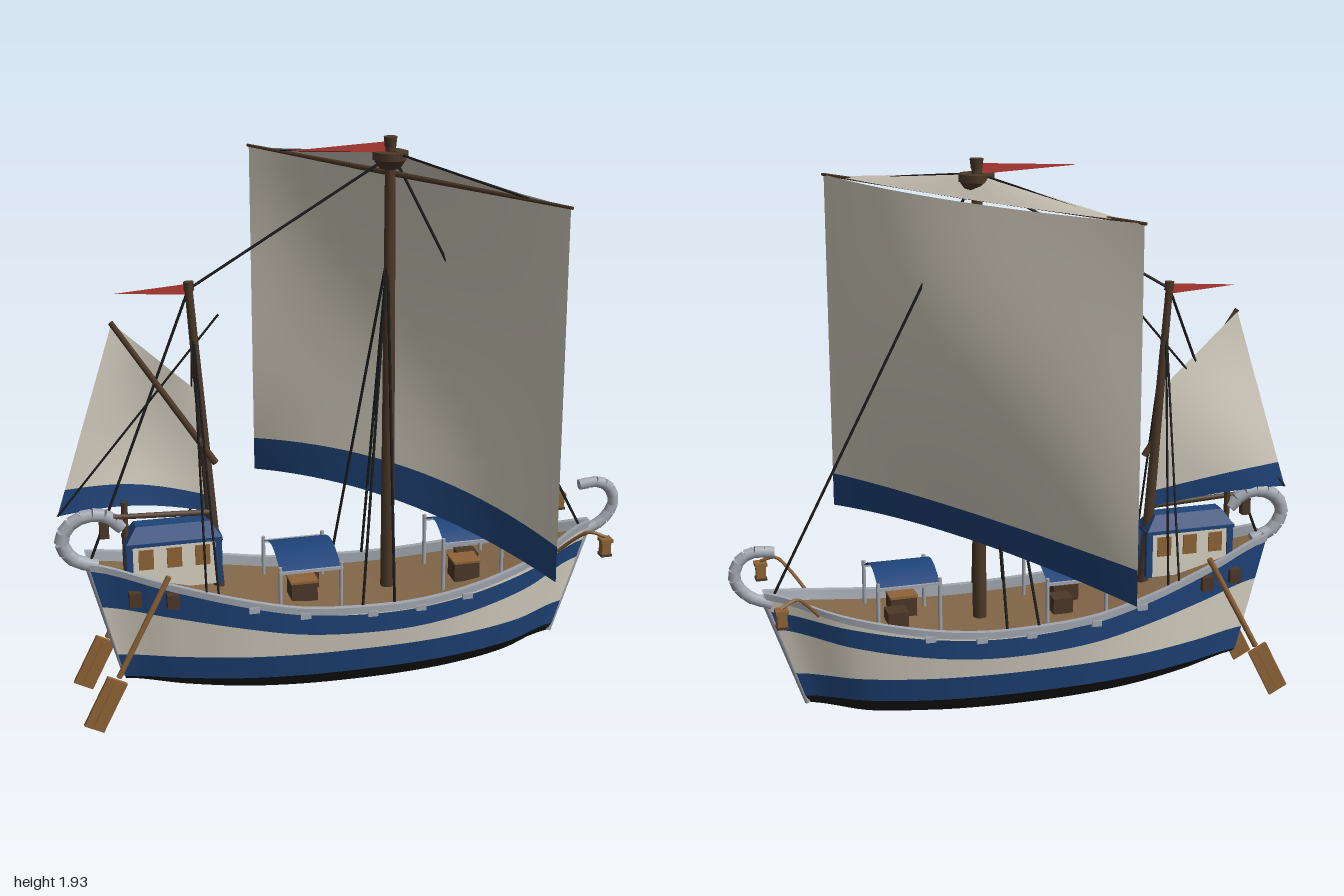
import * as THREE from 'three';
import { toCreasedNormals } from 'three/addons/utils/BufferGeometryUtils.js';

const V = (x, y, z = 0) => new THREE.Vector3(x, y, z);
const paint = (name, color) => {
  const m = new THREE.MeshStandardMaterial({ color, side: THREE.DoubleSide });
  m.name = name;
  return m;
};

export function createModel() {
  const cream = paint('cream', 0xd8d2c3), blue = paint('blue', 0x1f4479), black = paint('black', 0x1c1c1c);
  const deckWood = paint('deck wood', 0x836748), darkWood = paint('dark wood', 0x4c3828);
  const lightWood = paint('light wood', 0x8f6336), grey = paint('grey trim', 0xa2a7b0), red = paint('red', 0xb43a34);
  const root = new THREE.Group();
  root.name = 'sailingShip';

  const add = (name, geo, mat) => {
    const m = new THREE.Mesh(geo, mat);
    m.name = name;
    root.add(m);
    return m;
  };
  const box = (name, w, h, d, x, y, z, mat) => {
    const m = add(name, new THREE.BoxGeometry(w, h, d), mat);
    m.position.set(x, y, z);
    return m;
  };
  // Straight round bar between two points
  const rod = (name, a, b, r0, r1, mat, sides = 8) => {
    const dir = b.clone().sub(a);
    const m = add(name, new THREE.CylinderGeometry(r1, r0, dir.length(), sides), mat);
    m.position.copy(a).add(b).multiplyScalar(0.5);
    m.quaternion.setFromUnitVectors(V(0, 1, 0), dir.normalize());
    return m;
  };
  const rope = (a, b, r = 0.004) => rod('rope', a, b, r, r, black, 5);
  // Surface from a rule fn(u, v) -> point
  const surface = (fn, nu, nv) => {
    const pos = [], idx = [];
    for (let j = 0; j <= nv; j++) for (let i = 0; i <= nu; i++) pos.push(...fn(i / nu, j / nv).toArray());
    for (let j = 0; j < nv; j++) for (let i = 0; i < nu; i++) {
      const a = j * (nu + 1) + i, b = a + 1, c = a + nu + 1, d = c + 1;
      idx.push(a, c, b, b, c, d);
    }
    const g = new THREE.BufferGeometry();
    g.setAttribute('position', new THREE.Float32BufferAttribute(pos, 3));
    g.setIndex(idx);
    g.computeVertexNormals();
    return g;
  };
  const table = (...ys) => {
    const c = new THREE.SplineCurve(ys.map((y, i) => new THREE.Vector2(i, y)));
    return t => c.getPoint(t).y;
  };

  // Hull lines from stern (t = 0) to bow (t = 1)
  const width = table(0.06, 0.135, 0.195, 0.225, 0.232, 0.225, 0.195, 0.13, 0.012);
  const sheer = table(0.57, 0.51, 0.455, 0.41, 0.395, 0.395, 0.42, 0.465, 0.53);
  const blueTop = table(0.55, 0.49, 0.435, 0.39, 0.37, 0.37, 0.39, 0.425, 0.465);
  const blueLow = table(0.415, 0.385, 0.35, 0.315, 0.3, 0.3, 0.32, 0.355, 0.4);
  const keel = table(0.12, 0.075, 0.045, 0.03, 0.025, 0.027, 0.037, 0.062, 0.12);
  const hullX = (t, y) => THREE.MathUtils.lerp(-0.78 - (y - 0.12) * 0.25, 0.75 + (y - 0.12) * 0.33, t);
  const hullPoint = (t, y, z) => V(hullX(t, y), y, z);
  const rows = [
    [t => keel(t), 0],
    [t => keel(t) * 0.55 + 0.0675, 0.56],
    [() => 0.15, 0.86],
    [() => 0.235, 0.93],
    [blueLow, 0.98],
    [blueTop, 1],
    [sheer, 1],
  ];
  // One band wraps from the bow round the stern and back to the bow
  const wrap = u => (u < 0.5 ? [1 - u * 2 * 51 / 50, 1] : [(u - 0.5) * 2 * 51 / 50 - 0.02, -1]);
  const band = (name, lo, hi, mat) => {
    const n = hi - lo;
    const g = surface((u, v) => {
      const [t0, side] = wrap(u), t = THREE.MathUtils.clamp(t0, 0, 1);
      const [yf, f] = rows[lo + Math.round(v * n)];
      return hullPoint(t, yf(t), side * f * width(t));
    }, 101, n);
    add(name, toCreasedNormals(g, 0.7), mat);
  };
  band('hullBottom', 0, 2, black);
  band('lowerStripe', 2, 3, blue);
  band('hullSide', 3, 4, cream);
  band('upperStripe', 4, 5, blue);
  band('topStrake', 5, 6, cream);

  add('deck', surface((u, v) => hullPoint(u, sheer(u) - 0.03, (1 - 2 * v) * width(u) * 0.98), 40, 2), deckWood);
  const deckY = x => sheer((x + 0.88) / 1.76) - 0.03;
  const hullZ = x => width((x + 0.88) / 1.76);

  // Gunwale rails with small cleats
  const railRing = [[0.008, -0.018], [0.008, 0.006], [-0.012, 0.006], [-0.012, -0.03]];
  for (const s of [1, -1]) {
    const g = surface((u, v) => {
      const [dz, dy] = railRing[Math.round(v * 3)];
      return hullPoint(u, sheer(u) + dy, s * Math.max(0, width(u) + dz));
    }, 40, 3);
    if (s > 0) g.setIndex([...g.index.array].reverse());
    add('gunwale', toCreasedNormals(g, 0.6), grey);
    for (const x of [-0.37, -0.2, 0.03, 0.2, 0.37]) box('cleat', 0.035, 0.02, 0.012, x, deckY(x) + 0.01, s * (hullZ(x) + 0.007), grey);
  }

  // Stem and stern posts with scrolls
  const scroll = (name, r, pts) => {
    const p = new THREE.CatmullRomCurve3(pts.map(([x, y]) => V(x, y))).getSpacedPoints(11);
    for (let i = 0; i < 11; i++) rod(name, p[i], p[i + 1], r, r * 0.93, grey, 8);
  };
  scroll('bowScroll', 0.021, [[0.86, 0.49], [0.935, 0.525], [0.977, 0.585], [0.964, 0.645], [0.92, 0.675], [0.845, 0.67]]);
  scroll('sternScroll', 0.025, [[-0.86, 0.54], [-0.94, 0.575], [-0.973, 0.64], [-0.945, 0.695], [-0.89, 0.722], [-0.82, 0.715], [-0.77, 0.67]]);
  rod('stemPost', V(0.75, 0.12), V(0.885, 0.52), 0.01, 0.014, grey);
  rod('sternPost', V(-0.78, 0.13), V(-0.89, 0.56), 0.01, 0.014, grey);

  // Main mast, crow's nest, yard
  const mx = 0.145;
  rod('mainMast', V(mx, 0.36), V(mx, 1.93), 0.024, 0.017, darkWood, 10);
  rod('crowsNest', V(mx, 1.83), V(mx, 1.865), 0.035, 0.06, darkWood, 8);
  rod('crowsNestRim', V(mx, 1.86), V(mx, 1.885), 0.06, 0.06, darkWood, 8);
  rod('mastCap', V(mx, 1.9), V(mx, 1.933), 0.019, 0.023, darkWood, 8);
  const mid = V(0.165, 1.81), along = V(0.365, 0, 0.633), out = V(0.867, 0, -0.498);
  const yardAt = u => mid.clone().addScaledVector(along, u);
  for (const s of [-1, 1]) rod('yard', yardAt(0), yardAt(s), 0.01, 0.005, darkWood);

  // Square main sail, bellied most at half height, with a blue foot
  const mainSail = (v0, v1) => surface((u, w) => {
    const s = u * 2 - 1, v = v0 + (v1 - v0) * w, belly = 1 - s * s;
    const depth = 0.09 - 0.05 * v + 0.1 * Math.sin(Math.PI * v);
    const p = yardAt(s * 0.99).addScaledVector(out, depth * belly);
    p.y = 1.81 - v * (1.21 - 0.06 * belly);
    return p;
  }, 20, 14);
  add('mainSail', mainSail(0, 0.9), cream);
  add('mainSailStripe', mainSail(0.9, 1), blue);

  // Sloping sail head and yard lifts
  const head = V(mx, 1.885);
  add('sailHead', surface((u, v) => {
    const s = (u * 2 - 1) * 0.9;
    return yardAt(s).addScaledVector(out, 0.05 * (0.81 - s * s)).lerp(head, v);
  }, 8, 1), cream);
  for (const s of [-0.8, 0.8]) rope(head, yardAt(s));

  // Raked mizzen mast with gaff and boom
  rod('mizzenMast', V(-0.45, 0.42), V(-0.525, 1.49), 0.021, 0.013, darkWood, 8);
  rod('mizzenCap', V(-0.522, 1.465), V(-0.524, 1.495), 0.017, 0.017, darkWood, 8);
  rod('gaff', V(-0.78, 1.38, 0.015), V(-0.455, 0.88, 0.025), 0.009, 0.012, darkWood);
  rod('boom', V(-0.84, 0.715, 0.01), V(-0.47, 0.7, 0.01), 0.009, 0.011, darkWood);
  rod('boomCrutch', V(-0.76, 0.5), V(-0.76, 0.76), 0.011, 0.011, darkWood);
  box('block', 0.03, 0.06, 0.03, -0.83, 0.67, 0, darkWood);

  // Mizzen sail
  const mizzenSail = (v0, v1) => surface((u, w) => {
    const v = v0 + (v1 - v0) * w;
    const top = V(-0.775, 1.375).lerp(V(-0.49, 1.11), u), foot = V(-0.98, 0.73).lerp(V(-0.475, 0.7), u);
    foot.y += 0.02 * Math.sin(Math.PI * u);
    const p = top.lerp(foot, v);
    p.z = -0.04 * Math.sin(Math.PI * u) * Math.sin(Math.PI * 0.8 * v);
    return p;
  }, 12, 10);
  add('mizzenSail', mizzenSail(0, 0.86), cream);
  add('mizzenSailStripe', mizzenSail(0.86, 1), blue);

  // Pennants
  for (const [x, y, len, h] of [[mx, 1.9, 0.345, 0.018], [-0.525, 1.47, 0.24, 0.018]]) {
    const s = new THREE.Shape([[x, y + h], [x - len, y], [x, y - h]].map(p => new THREE.Vector2(...p)));
    add('pennant', new THREE.ShapeGeometry(s), red);
  }

  // Rigging
  rope(V(mx, 1.87), V(-0.525, 1.47), 0.005);
  rope(V(0.155, 1.87), V(0.86, 0.5), 0.005);
  rope(V(-0.525, 1.47), V(-0.88, 0.56), 0.005);
  rope(V(-0.43, 1.38), V(-0.98, 0.73));
  for (const s of [1, -1]) {
    for (const x of [0, 0.11]) rope(V(0.138, 1.54), V(x, 0.4, s * 0.222), 0.005);
    for (const x of [-0.52, -0.48]) rope(V(-0.515, 1.35), V(x, 0.47, s * 0.17));
  }

  // Stern cabin with hipped roof, posts and windows
  box('cabinWall', 0.28, 0.18, 0.09, -0.605, 0.545, 0, cream);
  const roof = new THREE.BoxGeometry(0.325, 0.055, 0.115);
  const rp = roof.attributes.position;
  for (let i = 0; i < rp.count; i++) if (rp.getY(i) > 0) rp.setXYZ(i, rp.getX(i) * 0.76, rp.getY(i), rp.getZ(i) * 0.5);
  roof.computeVertexNormals();
  add('cabinRoof', roof, blue).position.set(-0.605, 0.65, 0);
  box('roofEave', 0.325, 0.012, 0.115, -0.605, 0.62, 0, blue);
  for (const s of [1, -1]) {
    for (const x of [-0.755, -0.455]) box('cabinPost', 0.022, 0.17, 0.022, x, 0.54, s * 0.04, blue);
    for (const x of [-0.7, -0.605, -0.51]) box('cabinWindow', 0.05, 0.07, 0.006, x, 0.565, s * 0.047, lightWood);
  }

  // Arched awnings on posts over cargo
  for (const [x, w, y, d] of [[-0.16, 0.21, 0.51, 0.145], [0.418, 0.21, 0.545, 0.12]]) {
    const arch = surface((u, v) => V(x + (u - 0.5) * w, y + 0.045 * Math.sin(Math.PI * v), (v * 2 - 1) * d), 1, 10);
    add('awning', arch, blue);
    for (const s of [1, -1]) {
      box('awningEdge', w + 0.01, 0.01, 0.008, x, y, s * d, grey);
      for (const e of [1, -1]) {
        const px = x + e * w / 2;
        rod('awningPost', V(px, deckY(px), s * (d - 0.005)), V(px, y + 0.02, s * (d - 0.005)), 0.007, 0.007, grey, 6);
      }
    }
    box('crate', 0.09, 0.07, 0.08, x - 0.01, deckY(x) + 0.035, 0.05, darkWood);
    box('crateLid', 0.096, 0.008, 0.086, x - 0.01, deckY(x) + 0.07, 0.05, lightWood);
    box('crate', 0.07, 0.055, 0.07, x + 0.03, deckY(x) + 0.027, -0.05, darkWood);
  }

  // Steering oars and bow lanterns, mirrored
  for (const s of [1, -1]) {
    const top = V(-0.64, 0.54, s * 0.145), neck = V(-0.82, 0.2, s * 0.158);
    rod('oarShaft', top, neck, 0.01, 0.01, lightWood);
    const blade = box('oarBlade', 0.072, 0.19, 0.014, -0.868, 0.108, s * 0.161, lightWood);
    blade.rotation.z = -0.47;
    box('bladeRib', 0.014, 0.17, 0.02, -0.868, 0.108, s * 0.161, lightWood).rotation.z = -0.47;
    for (const x of [-0.75, -0.63]) box('oarBracket', 0.04, 0.05, 0.035, x, 0.455, s * (hullZ(x) + 0.005), darkWood);
    const arm = new THREE.CatmullRomCurve3([V(0.725, 0.48, s * 0.125), V(0.77, 0.54, s * 0.17), V(0.81, 0.575, s * 0.205), V(0.86, 0.56, s * 0.225)]);
    add('lanternArm', new THREE.TubeGeometry(arm, 12, 0.006, 6), lightWood);
    box('lantern', 0.032, 0.045, 0.032, 0.86, 0.522, s * 0.225, lightWood);
    box('lanternCap', 0.042, 0.012, 0.042, 0.86, 0.55, s * 0.225, lightWood);
    box('lanternBase', 0.038, 0.008, 0.038, 0.86, 0.497, s * 0.225, darkWood);
  }
  return root;
}
